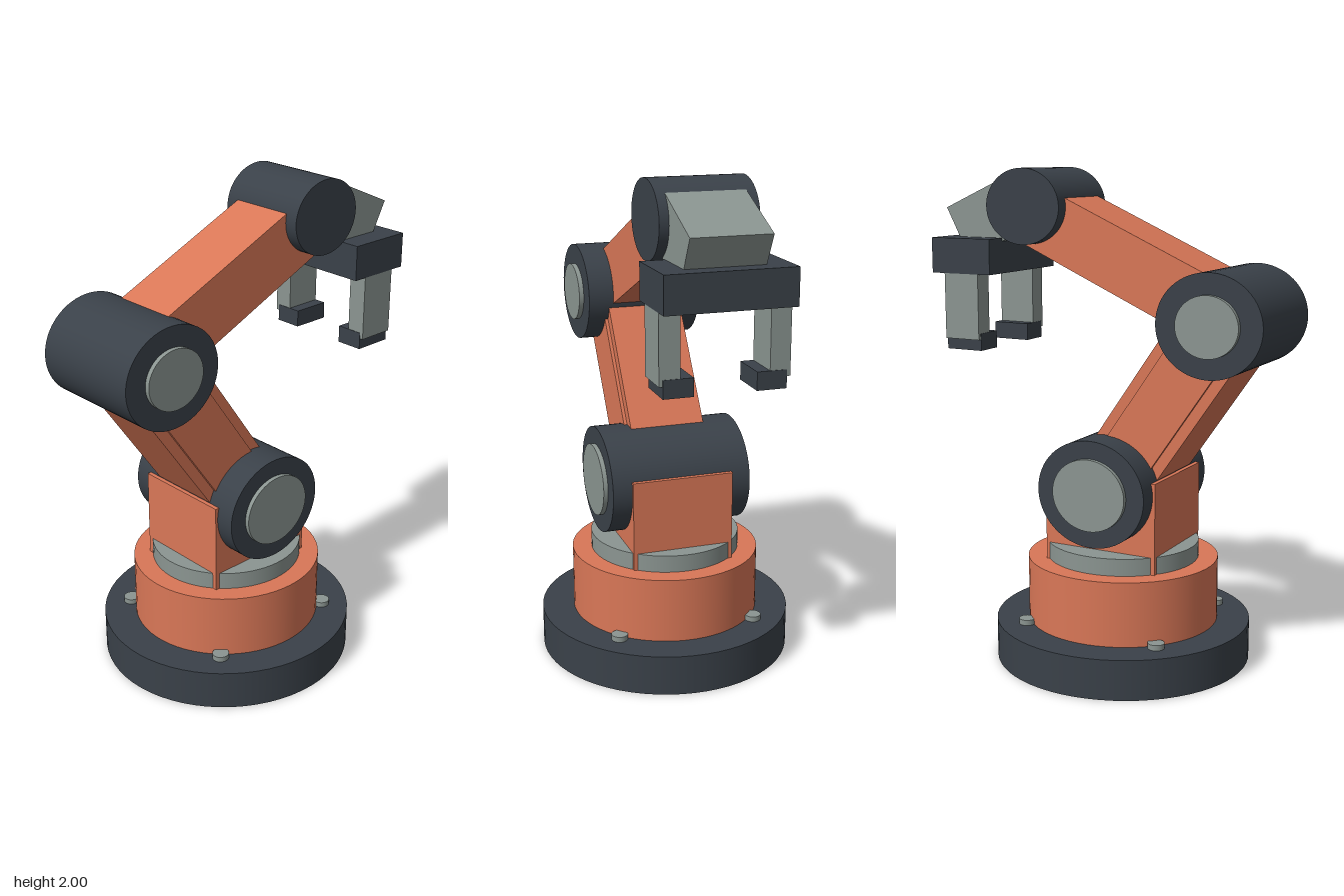
import * as THREE from 'three';

export function createModel() {
  const model = new THREE.Group();
  model.name = 'robotArm';

  const material = (name, color) => {
    const m = new THREE.MeshStandardMaterial({ color });
    m.name = name;
    return m;
  };
  const orange = material('orange paint', 0xd97757);
  const dark = material('dark graphite', 0x3a4149);
  const grey = material('grey metal', 0x8b9591);

  const add = (name, geometry, mat, x = 0, y = 0, z = 0) => {
    const mesh = new THREE.Mesh(geometry, mat);
    mesh.name = name;
    mesh.position.set(x, y, z);
    model.add(mesh);
    return mesh;
  };

  // Upright, slightly oval disc between two heights
  const disc = (name, mat, rx, rz, y0, y1, x, z = 0, sides = 64) =>
    add(name, new THREE.CylinderGeometry(1, 1, y1 - y0, sides).scale(rx, 1, rz), mat, x, (y0 + y1) / 2, z);

  // Slightly oval drum lying along z
  const drum = (name, mat, rx, ry, halfZ, x, y) =>
    add(name, new THREE.CylinderGeometry(1, 1, halfZ * 2, 64).rotateX(Math.PI / 2).scale(rx, ry, 1), mat, x, y);

  // Box given by its limits
  const block = (name, mat, x0, x1, y0, y1, z0, z1) =>
    add(name, new THREE.BoxGeometry(x1 - x0, y1 - y0, z1 - z0), mat, (x0 + x1) / 2, (y0 + y1) / 2, (z0 + z1) / 2);

  // Side outline extruded evenly about z = 0
  const slab = (name, mat, points, halfZ) => {
    const shape = new THREE.Shape(points.map(([x, y]) => new THREE.Vector2(x, y)));
    const geometry = new THREE.ExtrudeGeometry(shape, { depth: halfZ * 2, bevelEnabled: false });
    return add(name, geometry.translate(0, 0, -halfZ), mat);
  };

  // Base, pedestal, turntable and bolts
  const cx = -0.03;
  disc('base', dark, 0.528, 0.518, 0, 0.164, cx);
  disc('pedestal', orange, 0.394, 0.386, 0.164, 0.428, cx);
  disc('turntable', grey, 0.314, 0.307, 0.428, 0.498, cx);
  for (const sx of [-1, 1]) {
    for (const sz of [-1, 1]) {
      disc('baseBolt', grey, 0.034, 0.033, 0.15, 0.186, cx + sx * 0.294, sz * 0.287, 24);
    }
  }

  // Shoulder
  block('shoulderBlock', orange, -0.277, 0.214, 0.42, 0.798, -0.209, 0.209);
  const shoulder = [-0.032, 0.744];
  drum('shoulderJoint', dark, 0.235, 0.216, 0.288, ...shoulder);
  drum('shoulderCap', grey, 0.159, 0.145, 0.306, ...shoulder);

  // Lower arm with a raised rail on each side
  const elbow = [-0.505, 1.43];
  const strip = (w) => {
    const dx = elbow[0] - shoulder[0], dy = elbow[1] - shoulder[1];
    const length = Math.hypot(dx, dy);
    const nx = (dy / length) * w, ny = (-dx / length) * w;
    return [
      [shoulder[0] - nx, shoulder[1] - ny], [shoulder[0] + nx, shoulder[1] + ny],
      [elbow[0] + nx, elbow[1] + ny], [elbow[0] - nx, elbow[1] - ny],
    ];
  };
  slab('lowerArm', orange, strip(0.155), 0.155);
  slab('lowerArmRails', orange, strip(0.111), 0.168);

  // Elbow
  drum('elbowJoint', dark, 0.2165, 0.2, 0.24, ...elbow);
  drum('elbowCap', grey, 0.128, 0.118, 0.259, ...elbow);

  // Forearm and wrist
  slab('forearm', orange, [[-0.362, 1.381], [0.351, 1.7], [0.246, 1.923], [-0.494, 1.592]], 0.136);
  drum('wristJoint', dark, 0.167, 0.15, 0.191, 0.322, 1.85);
  slab('wristBlock', grey, [[0.351, 1.749], [0.6, 1.638], [0.705, 1.839], [0.404, 1.973]], 0.154);

  // Gripper
  block('gripperPalm', dark, 0.441, 0.716, 1.58, 1.722, -0.25, 0.25);
  for (const s of [-1, 1]) {
    const between = (a, b) => (s > 0 ? [a, b] : [-b, -a]);
    block('finger', grey, 0.499, 0.658, 1.315, 1.59, ...between(0.17, 0.249));
    block('fingerTip', dark, 0.497, 0.66, 1.27, 1.34, ...between(0.12, 0.235));
  }

  return model;
}
